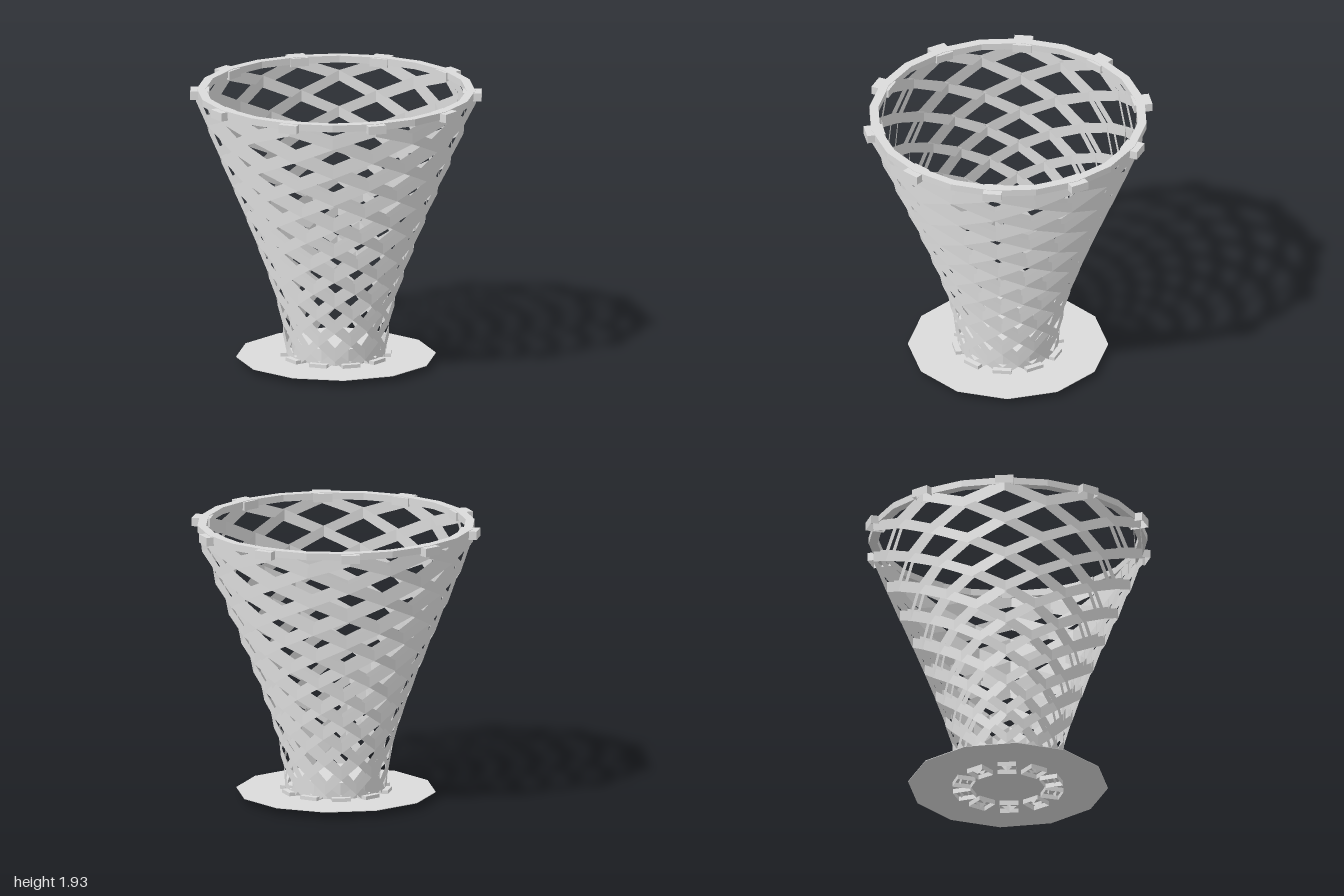
import * as THREE from 'three';

const COUNT = 10;            // strands per direction, and blocks per rim
const STEP = Math.PI / 10;   // turn between two neighbouring crossings
const STRIP = 0.075;         // upright height of a lattice strip
const DEPTH = 0.05;          // gap between the outer and inner sheet of a strip
const LIFT = 0.012;          // the inner sheet sits slightly higher

export function createModel() {
  const model = new THREE.Group();
  model.name = 'latticeBasket';
  const grey = new THREE.MeshStandardMaterial({ color: 0xdadada, side: THREE.DoubleSide });
  grey.name = 'lightGrey';

  const add = (geometry, name, parent = model) => {
    const mesh = new THREE.Mesh(geometry, grey);
    mesh.name = name;
    parent.add(mesh);
    return mesh;
  };

  // Flared profile (outer radius, height) followed by every strand
  const profile = new THREE.SplineCurve([
    [0.34, 0.038], [0.365, 0.23], [0.40, 0.43], [0.46, 0.625], [0.53, 0.82],
    [0.61, 1.025], [0.695, 1.23], [0.785, 1.44], [0.875, 1.66], [0.96, 1.875],
  ].map(([r, y]) => new THREE.Vector2(r, y)));

  // Strip climbing the profile as two upright sheets, straight between crossings
  function strandGeometry(direction) {
    const positions = [];
    const corner = (i, side, layer) => {
      const p = profile.getPoint(i / 18);
      const a = direction * i * STEP;
      const r = p.x - layer * DEPTH;
      return [r * Math.cos(a), p.y + layer * LIFT + side * STRIP / 2, r * Math.sin(a)];
    };
    for (let i = 0; i < 18; i++) {
      for (const layer of [0, 1]) {
        const a = corner(i, -1, layer), b = corner(i + 1, -1, layer);
        const c = corner(i + 1, 1, layer), d = corner(i, 1, layer);
        const outward = (direction > 0) === (layer === 0);
        positions.push(...(outward ? [a, c, b, a, d, c] : [a, b, c, a, c, d]).flat());
      }
    }
    const geometry = new THREE.BufferGeometry();
    geometry.setAttribute('position', new THREE.Float32BufferAttribute(positions, 3));
    geometry.computeVertexNormals();
    return geometry;
  }

  // Lattice: two crossing families of strands
  const lattice = new THREE.Group();
  lattice.name = 'lattice';
  model.add(lattice);
  for (const direction of [1, -1]) {
    const geometry = strandGeometry(direction);
    for (let k = 0; k < COUNT; k++) {
      add(geometry, direction > 0 ? 'rightStrand' : 'leftStrand', lattice).rotation.y = k * 2 * STEP;
    }
  }

  // Open-bottomed blocks holding the strand ends at the rim and at the foot
  function blocks(name, inner, outer, bottom, top) {
    const geometry = new THREE.BoxGeometry(outer - inner, top - bottom, 0.128);
    const faces = Array.from(geometry.index.array);
    faces.splice(18, 6);     // leave out the underside
    geometry.setIndex(faces);
    geometry.clearGroups();
    geometry.translate((inner + outer) / 2, (bottom + top) / 2, 0);
    for (let k = 0; k < COUNT; k++) add(geometry, name).rotation.y = k * 2 * STEP;
  }
  blocks('rimBlock', 0.87, 0.998, 1.865, 1.924);
  blocks('footBlock', 0.25, 0.378, 0.01, 0.072);

  // Twenty-sided rim ring
  const polygon = (radius) => Array.from({ length: 20 }, (_, i) =>
    new THREE.Vector2(radius * Math.cos(i * STEP), radius * Math.sin(i * STEP)));
  const ringShape = new THREE.Shape(polygon(0.955));
  ringShape.holes.push(new THREE.Path(polygon(0.894)));
  const ring = new THREE.ExtrudeGeometry(ringShape, { depth: 0.048, bevelEnabled: false });
  ring.rotateX(-Math.PI / 2);
  add(ring, 'rimRing').position.y = 1.879;

  // Raised hub inside the foot
  const hub = new THREE.CylinderGeometry(0.3, 0.3, 0.115, 20).toNonIndexed();
  hub.computeVertexNormals();
  add(hub, 'hub').position.y = 0.1025;

  // Thin twelve-sided base plate
  const plate = new THREE.CylinderGeometry(0.687, 0.687, 0.004, 12).toNonIndexed();
  plate.computeVertexNormals();
  add(plate, 'basePlate').position.y = 0.045;

  return model;
}
